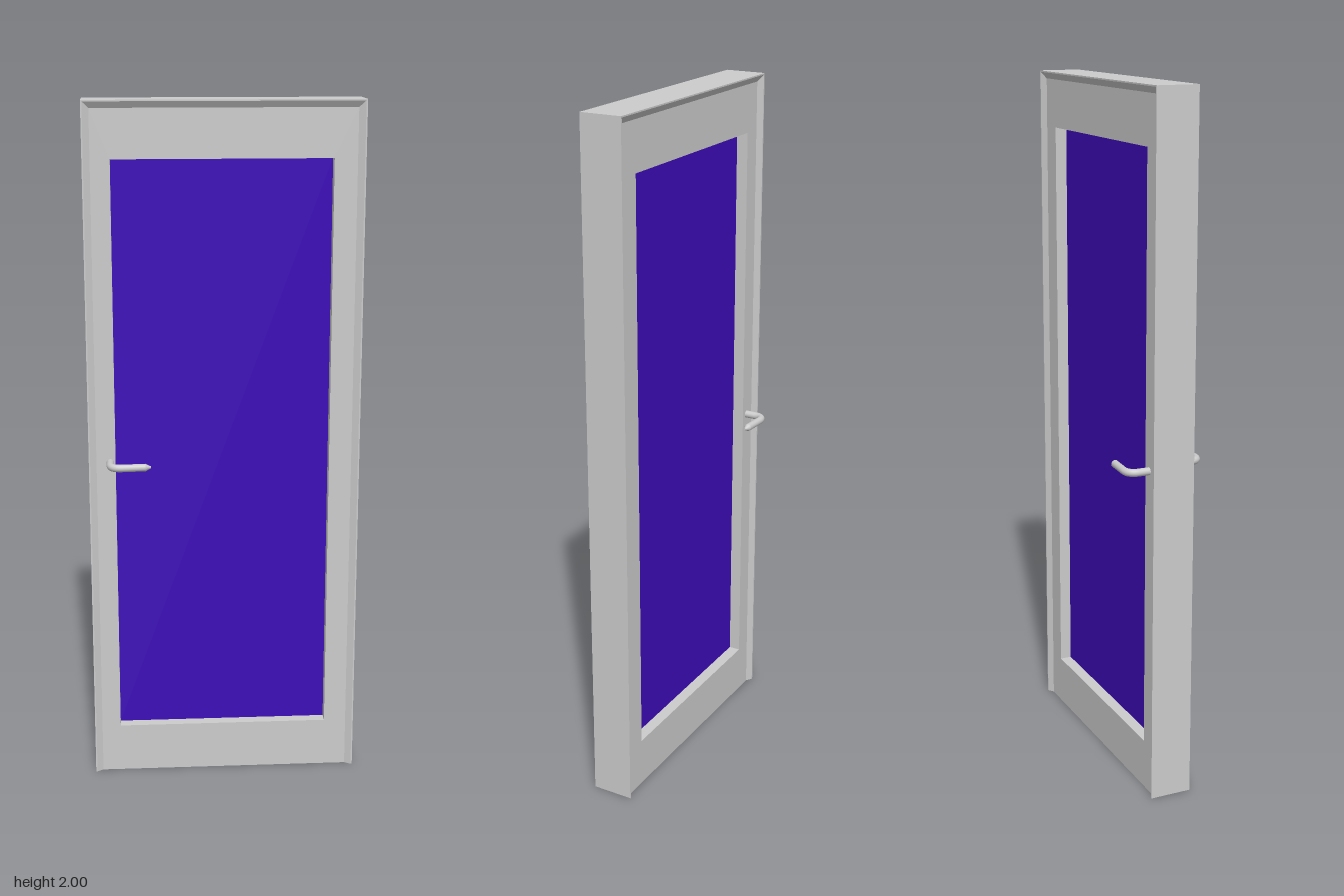
import * as THREE from 'three';

const W = 0.392, H = 2;          // outer half width and height
const Z = 0.061, LEAF_Z = 0.049; // half depths of frame and leaf
const INSET = 0.022, RIM = 0.004;

const grey = new THREE.MeshStandardMaterial({ color: 0xcccccc, side: THREE.DoubleSide });
const blue = new THREE.MeshStandardMaterial({ color: 0x3d0cb8 });

function add(parent, name, geometry, material = grey) {
  const mesh = new THREE.Mesh(geometry, material);
  mesh.name = name;
  parent.add(mesh);
  return mesh;
}

// Chamfered surround: one profile (inset, z) swept up, across and down
function surroundGeometry() {
  const profile = [[INSET, LEAF_Z], [RIM, Z], [0, Z], [0, -Z], [RIM, -Z], [INSET, -LEAF_Z]];
  const stations = [
    i => [-W + i, 0], i => [-W + i, H - i], i => [W - i, H - i], i => [W - i, 0],
  ];
  const point = (s, p) => [...stations[s](profile[p][0]), profile[p][1]];
  const n = profile.length, pos = [];
  for (let s = 0; s < 3; s++) {
    for (let p = 0; p < n; p++) {
      const q = (p + 1) % n;
      const a = point(s, p), b = point(s + 1, p), c = point(s + 1, q), d = point(s, q);
      pos.push(...a, ...c, ...b, ...a, ...d, ...c);
    }
  }
  // Feet of the jambs
  for (let p = 1; p < n - 1; p++) {
    pos.push(...point(0, 0), ...point(0, p + 1), ...point(0, p));
    pos.push(...point(3, 0), ...point(3, p), ...point(3, p + 1));
  }
  const g = new THREE.BufferGeometry();
  g.setAttribute('position', new THREE.Float32BufferAttribute(pos, 3));
  g.computeVertexNormals();
  return g;
}

function rectangle(Type, x0, y0, x1, y1) {
  return new Type([[x0, y0], [x1, y0], [x1, y1], [x0, y1]].map(p => new THREE.Vector2(...p)));
}

// Lever handle: spindle, rounded bend and a grip with a pointed end
function makeHandle(name, x, y, side) {
  const g = new THREE.Group();
  g.name = name;
  const r = 0.011;
  const v = (a, b) => new THREE.Vector3(a, 0, side * b);
  const path = new THREE.CurvePath();
  const bend = v(0.034, 0.11), end = v(0.1, 0.1055);
  path.add(new THREE.LineCurve3(v(0, 0.04), v(0, 0.08)));
  path.add(new THREE.CubicBezierCurve3(v(0, 0.08), v(0, 0.1), v(0.012, 0.1115), bend));
  path.add(new THREE.LineCurve3(bend, end));
  add(g, 'lever', new THREE.TubeGeometry(path, 40, r, 14));
  const dir = end.clone().sub(bend).normalize();
  const tip = add(g, 'leverTip', new THREE.CylinderGeometry(0.003, r, 0.016, 14));
  tip.position.copy(end).addScaledVector(dir, 0.008);
  tip.quaternion.setFromUnitVectors(new THREE.Vector3(0, 1, 0), dir);
  g.position.set(x, y, 0);
  return g;
}

export function createModel() {
  const door = new THREE.Group();
  door.name = 'door';

  add(door, 'surround', surroundGeometry());

  // Door leaf with the window opening
  const x0 = -0.315, x1 = 0.305, y0 = 0.145, y1 = 1.84;
  const leaf = rectangle(THREE.Shape, -W + INSET, 0, W - INSET, H - INSET);
  leaf.holes.push(rectangle(THREE.Path, x0, y0, x1, y1));
  const leafGeometry = new THREE.ExtrudeGeometry(leaf, { depth: 2 * LEAF_Z, bevelEnabled: false });
  add(door, 'leaf', leafGeometry.translate(0, 0, -LEAF_Z));

  // Glass pane, set back from both faces
  const pane = add(door, 'glassPane', new THREE.BoxGeometry(x1 - x0, y1 - y0, 0.03), blue);
  pane.position.set((x0 + x1) / 2, (y0 + y1) / 2, 0);

  door.add(makeHandle('frontHandle', -0.33, 0.976, 1));
  door.add(makeHandle('backHandle', -0.338, 0.967, -1));
  return door;
}
